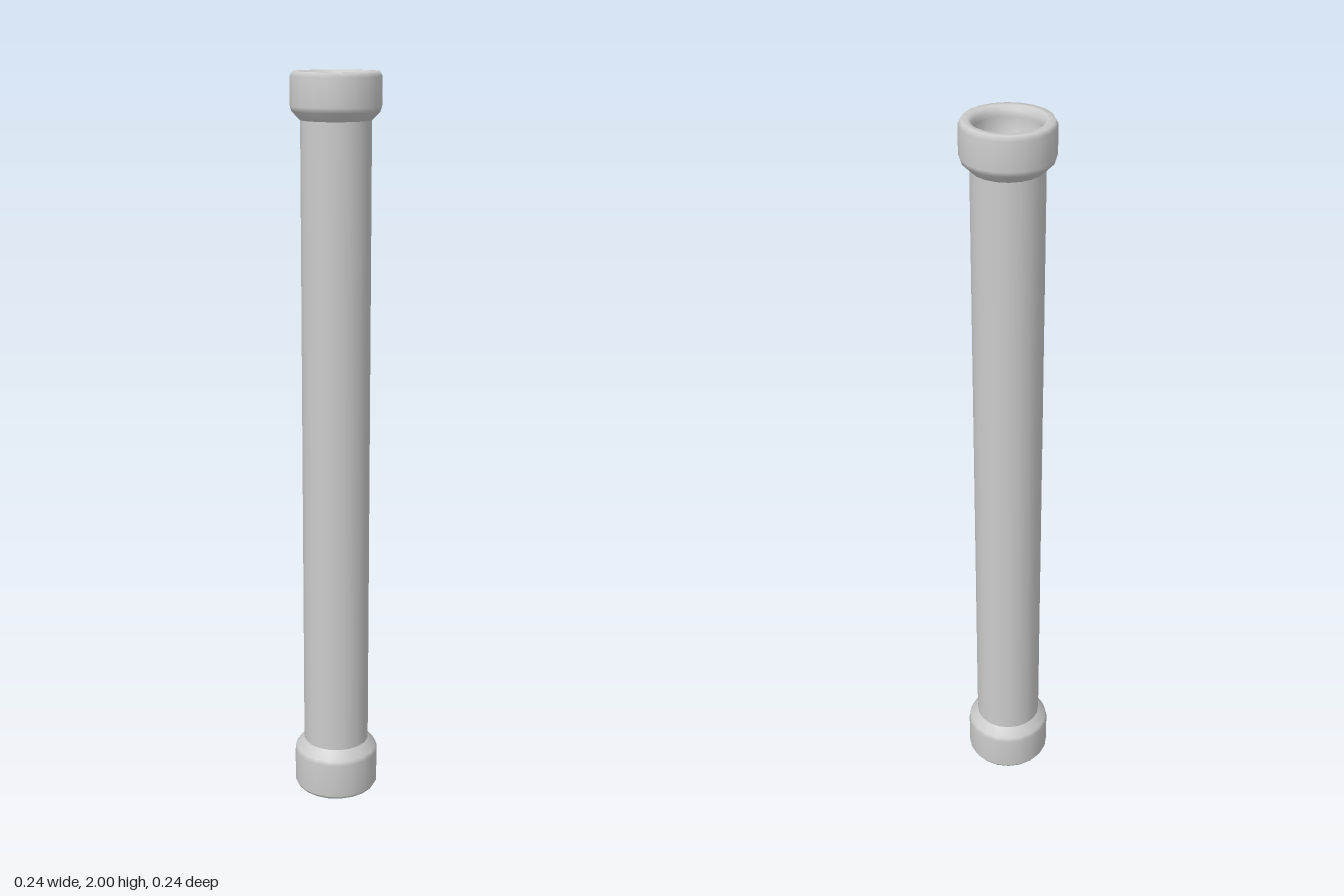
import * as THREE from 'three';

const SIDES = 20;

// Revolves a list of [radius, height] pairs around the y axis
function revolve(name, profile, material) {
  const points = profile.map(([r, y]) => new THREE.Vector2(r, y));
  const mesh = new THREE.Mesh(new THREE.LatheGeometry(points, SIDES), material);
  mesh.name = name;
  return mesh;
}

export function createModel() {
  const group = new THREE.Group();
  group.name = 'pipe';
  const material = new THREE.MeshStandardMaterial({ color: 0xcccccc });

  // Lower collar with a wide, thin-walled socket
  group.add(revolve('lowerCollar', [
    [0, 0.11], [0.096, 0.11], [0.098, 0.01], [0.102, 0], [0.112, 0],
    [0.118, 0.01], [0.118, 0.105], [0.114, 0.118], [0.092, 0.143],
  ], material));

  // Straight shaft between the collars
  group.add(revolve('shaft', [[0.092, 0.143], [0.092, 1.88]], material));

  // Upper collar with a thick rounded lip and a narrower mouth
  group.add(revolve('upperCollar', [
    [0.092, 1.88], [0.114, 1.902], [0.118, 1.915], [0.118, 1.988],
    [0.111, 2], [0.094, 2], [0.085, 1.99], [0.083, 1.975],
    [0.083, 1.88], [0, 1.88],
  ], material));

  return group;
}
